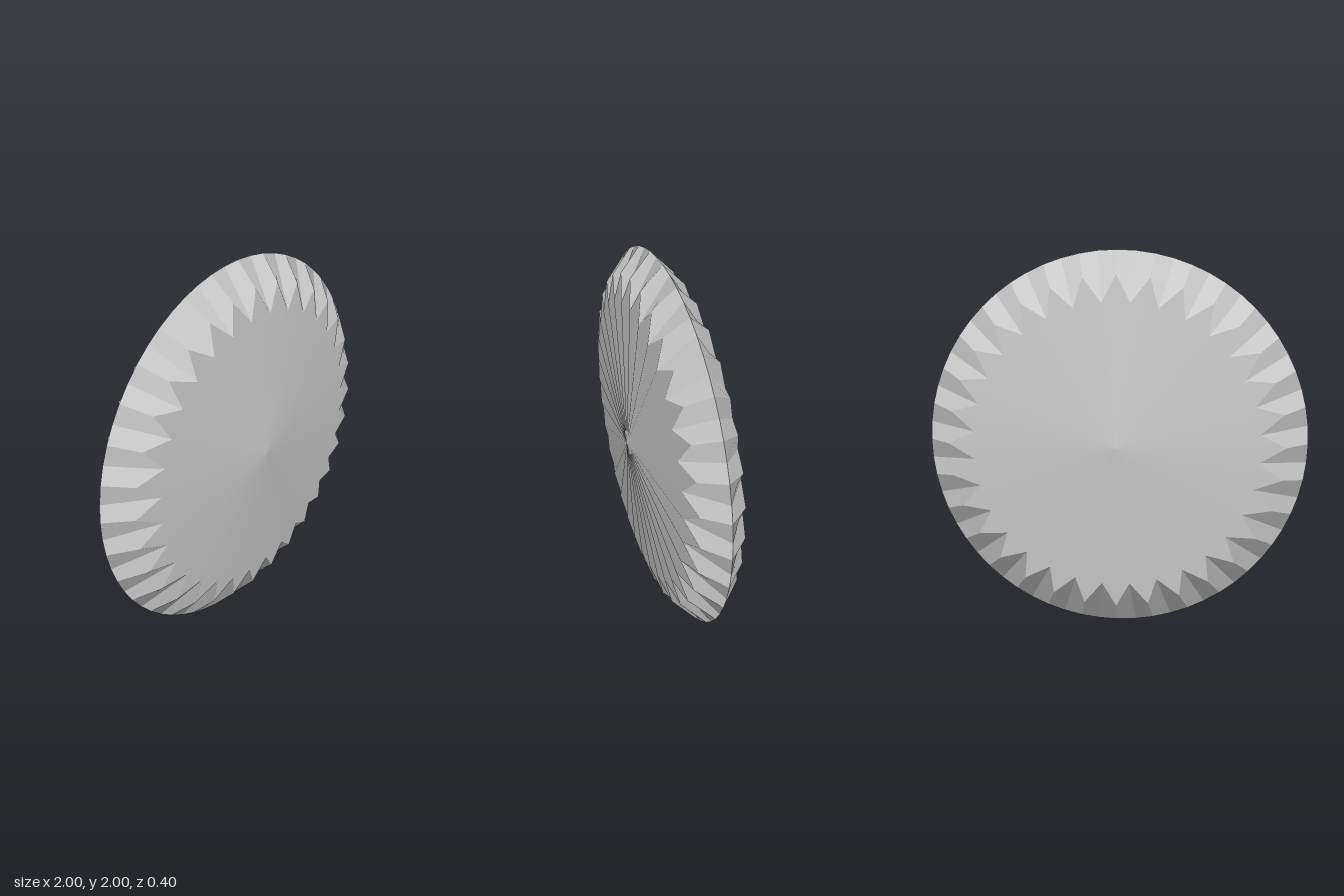
import * as THREE from 'three';

const SEGMENTS = 64;

// Point on a ring; even steps are notches, odd steps are tooth tips
const ringPoint = (i, r, z) => {
  const a = (i / SEGMENTS) * Math.PI * 2;
  return new THREE.Vector3(Math.cos(a) * r, Math.sin(a) * r, z);
};
const rim = (i) => ringPoint(i, 1, 0);
const tooth = (i) => (i % 2 ? ringPoint(i, 0.743, 0.148) : ringPoint(i, 0.88, 0.112));

// Collects triangles with their own corner normals
function buildMesh(name, triangles, material, side) {
  const position = [], normal = [];
  for (const { points, normals } of triangles) {
    const order = side > 0 ? [0, 1, 2] : [0, 2, 1];
    for (const k of order) {
      position.push(points[k].x, points[k].y, points[k].z * side);
      normal.push(normals[k].x, normals[k].y, normals[k].z * side);
    }
  }
  const geometry = new THREE.BufferGeometry();
  geometry.setAttribute('position', new THREE.Float32BufferAttribute(position, 3));
  geometry.setAttribute('normal', new THREE.Float32BufferAttribute(normal, 3));
  const mesh = new THREE.Mesh(geometry, material);
  mesh.name = name;
  return mesh;
}

// Shallow face: a fan from the raised centre to the zigzag edge, shaded as a smooth cone
function faceTriangles() {
  const apex = new THREE.Vector3(0, 0, 0.2);
  const coneNormal = (i) => ringPoint(i, 0.085, 1).normalize();
  return Array.from({ length: SEGMENTS }, (_, i) => ({
    points: [apex, tooth(i), tooth(i + 1)],
    normals: [coneNormal(i + 0.5), coneNormal(i), coneNormal(i + 1)],
  }));
}

// Bevelled teeth: one faceted panel per segment, from the zigzag edge to the rim
function teethTriangles() {
  const triangles = [];
  for (let i = 0; i < SEGMENTS; i++) {
    const corners = [tooth(i), rim(i), rim(i + 1), tooth(i + 1)];
    const centre = new THREE.Vector3();
    corners.forEach((c) => centre.addScaledVector(c, 0.25));
    const n = corners[2].clone().sub(corners[0])
      .cross(corners[3].clone().sub(corners[1])).normalize();
    corners.forEach((c, k) => triangles.push({
      points: [centre, c, corners[(k + 1) % 4]],
      normals: [n, n, n],
    }));
  }
  return triangles;
}

export function createModel() {
  const group = new THREE.Group();
  group.name = 'toothedDisc';
  const material = new THREE.MeshStandardMaterial({ color: 0xcccccc });

  // Front and back halves mirror each other
  for (const [label, side] of [['front', 1], ['back', -1]]) {
    const half = new THREE.Group();
    half.name = label + 'Half';
    half.add(
      buildMesh(label + 'Face', faceTriangles(), material, side),
      buildMesh(label + 'Teeth', teethTriangles(), material, side),
    );
    half.position.y = 1;
    group.add(half);
  }
  return group;
}
